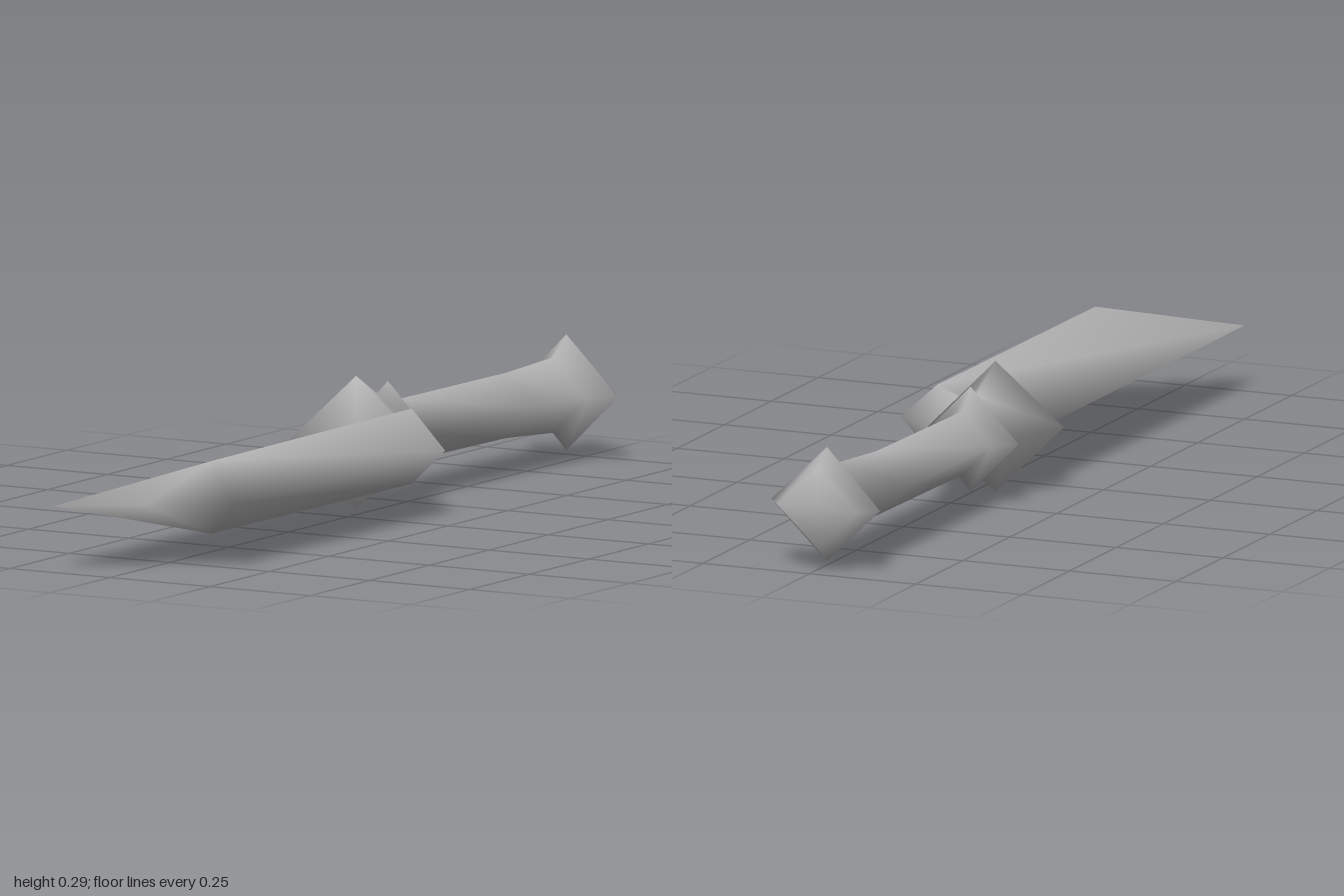
import * as THREE from 'three';

const CY = 0.147; // height of the long axis

// Smooth loft through four-cornered sections, listed from back to front.
// Section: [leftX, leftZ, ridgeX, ridgeZ, halfHeight, rightX, rightZ]
function loft(name, sections, backCap, frontCap, material) {
  const pos = [], idx = [];
  for (const [lx, lz, mx, mz, h, rx, rz] of sections) {
    pos.push(lx, CY, lz, mx, CY + h, mz, rx, CY, rz, mx, CY - h, mz);
  }
  const last = (sections.length - 1) * 4;
  const back = last + 4, front = last + 5;
  pos.push(backCap[0], CY, backCap[1], frontCap[0], CY, frontCap[1]);
  for (let k = 0; k < 4; k++) {
    const n = (k + 1) % 4;
    for (let a = 0; a < last; a += 4) {
      const b = a + 4;
      idx.push(a + k, b + k, a + n, a + n, b + k, b + n);
    }
    idx.push(back, k, n, front, last + n, last + k);
  }
  const geo = new THREE.BufferGeometry();
  geo.setAttribute('position', new THREE.Float32BufferAttribute(pos, 3));
  geo.setIndex(idx);
  geo.computeVertexNormals();
  const mesh = new THREE.Mesh(geo, material);
  mesh.name = name;
  return mesh;
}

export function createModel() {
  const steel = new THREE.MeshStandardMaterial({ color: 0xb4b4b4 });
  steel.name = 'plain grey';
  const group = new THREE.Group();
  group.name = 'knife';

  // Blade with an off-centre ridge and a slanted, bevelled point
  group.add(loft('blade', [
    [-0.10, -0.12, 0.02, -0.145, 0.06, 0.08, -0.13],
    [-0.14, -0.10, 0.087, -0.122, 0.082, 0.18, -0.105],
    [-0.14, 1.00, 0.087, 0.72, 0.079, 0.18, 0.77],
  ], [0, -0.145], [0.02, 0.885], steel));

  // Pommel, grip, collar and slanted guard in one diamond-sectioned body
  group.add(loft('handle', [
    [-0.11, -1.00, -0.015, -0.99, 0.088, 0.08, -0.99],
    [-0.15, -0.963, -0.018, -0.947, 0.126, 0.113, -0.945],
    [-0.112, -0.915, -0.022, -0.90, 0.082, 0.064, -0.90],
    [-0.112, -0.73, -0.034, -0.72, 0.071, 0.042, -0.73],
    [-0.115, -0.29, -0.045, -0.285, 0.070, 0.025, -0.285],
    [-0.16, -0.25, -0.046, -0.245, 0.115, 0.066, -0.25],
    [-0.115, -0.21, -0.043, -0.207, 0.088, 0.033, -0.215],
    [-0.183, -0.06, -0.045, -0.11, 0.144, 0.088, -0.17],
  ], [-0.015, -0.995], [-0.045, -0.115], steel));

  return group;
}
